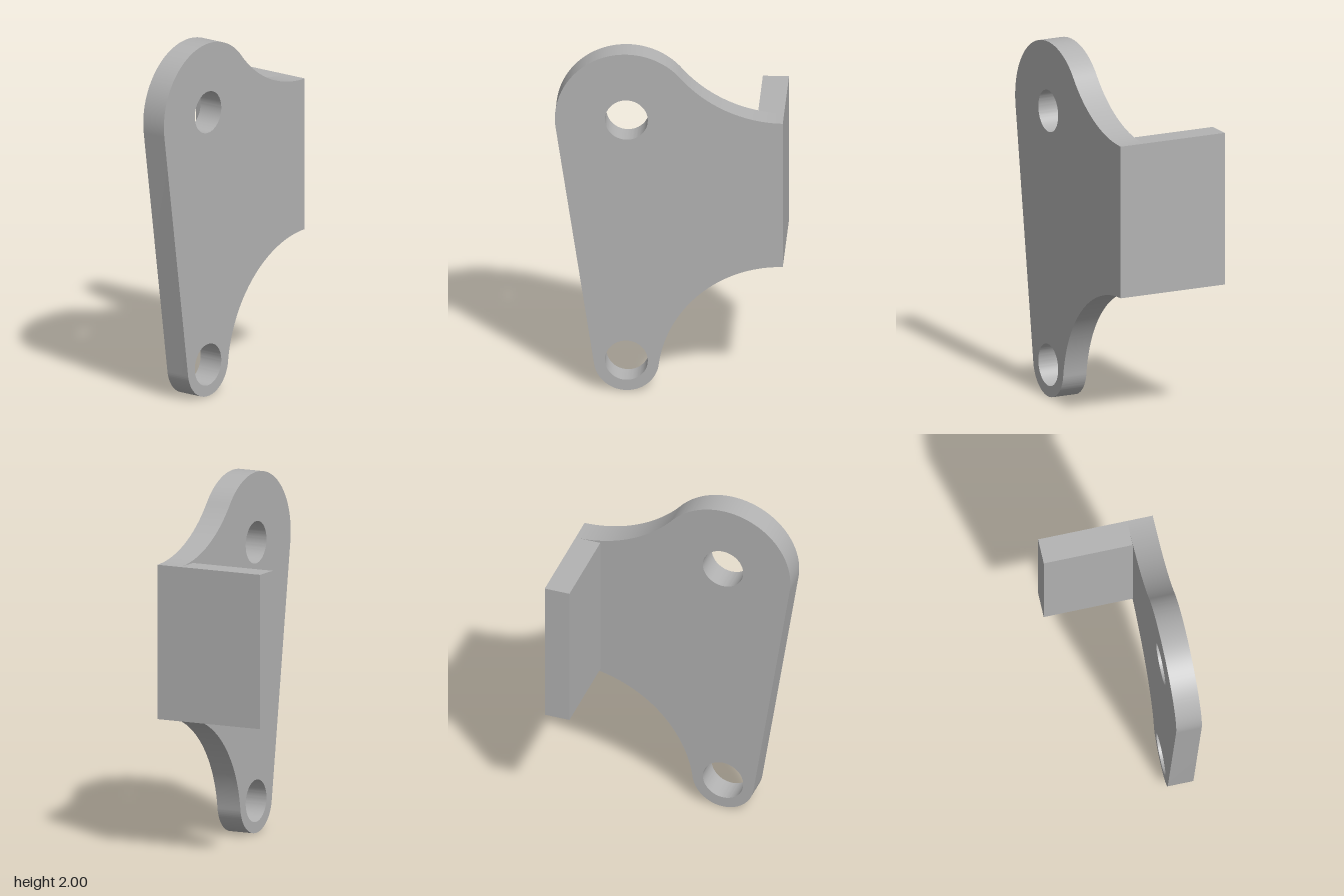
import * as THREE from 'three';
import { toCreasedNormals } from 'three/addons/utils/BufferGeometryUtils.js';

export function createModel() {
  const group = new THREE.Group();
  group.name = 'mountingBracket';
  const metal = new THREE.MeshStandardMaterial({ color: 0xb2b2b2 });
  metal.name = 'grey metal';

  // Main dimensions
  const thick = 0.143, halfDepth = 0.32, right = 0.622;
  const cx = -0.232, holeR = 0.117;
  const top = { y: 1.61, r: 0.39 }, low = { y: 0.178, r: 0.178 };
  const flangeTop = 1.608, flangeLow = 0.753;
  const dx = right - cx;

  // Concave fillets: level at the flange and tangent to each rounded end
  const h = flangeTop - top.y;
  const upR = (dx * dx + h * h - top.r ** 2) / (2 * (top.r - h));
  const upY = flangeTop + upR;
  const upA = Math.atan2(upY - top.y, dx);
  const k = flangeLow - low.y;
  const lowR = (dx * dx + k * k - low.r ** 2) / (2 * (low.r + k));
  const lowY = flangeLow - lowR;
  const lowA = Math.atan2(lowY - low.y, dx);

  // Straight left edge, tangent to both rounded ends
  const edgeA = Math.PI + Math.asin((top.r - low.r) / (top.y - low.y));

  // Plate outline, counter-clockwise, with two bolt holes
  const outline = new THREE.Shape();
  outline.moveTo(right, flangeLow);
  outline.lineTo(right, flangeTop);
  outline.absarc(right, upY, upR, -Math.PI / 2, upA - Math.PI, true);
  outline.absarc(cx, top.y, top.r, upA, edgeA, false);
  outline.absarc(cx, low.y, low.r, edgeA, lowA + Math.PI * 2, false);
  outline.absarc(right, lowY, lowR, lowA + Math.PI, Math.PI / 2, true);
  for (const end of [top, low]) {
    const hole = new THREE.Path();
    hole.absarc(cx, end.y, holeR, 0, Math.PI * 2, true);
    outline.holes.push(hole);
  }
  const plateGeo = new THREE.ExtrudeGeometry(outline, {
    depth: thick, bevelEnabled: false, curveSegments: 48,
  });
  const plate = new THREE.Mesh(toCreasedNormals(plateGeo, 0.5), metal);
  plate.name = 'plate';
  plate.position.z = halfDepth - thick;
  group.add(plate);

  // Flange running back from the plate's straight edge
  const depth = 2 * halfDepth - thick, height = flangeTop - flangeLow;
  const flange = new THREE.Mesh(new THREE.BoxGeometry(thick, height, depth), metal);
  flange.name = 'flange';
  flange.position.set(right - thick / 2, flangeLow + height / 2, -halfDepth + depth / 2);
  group.add(flange);

  return group;
}
